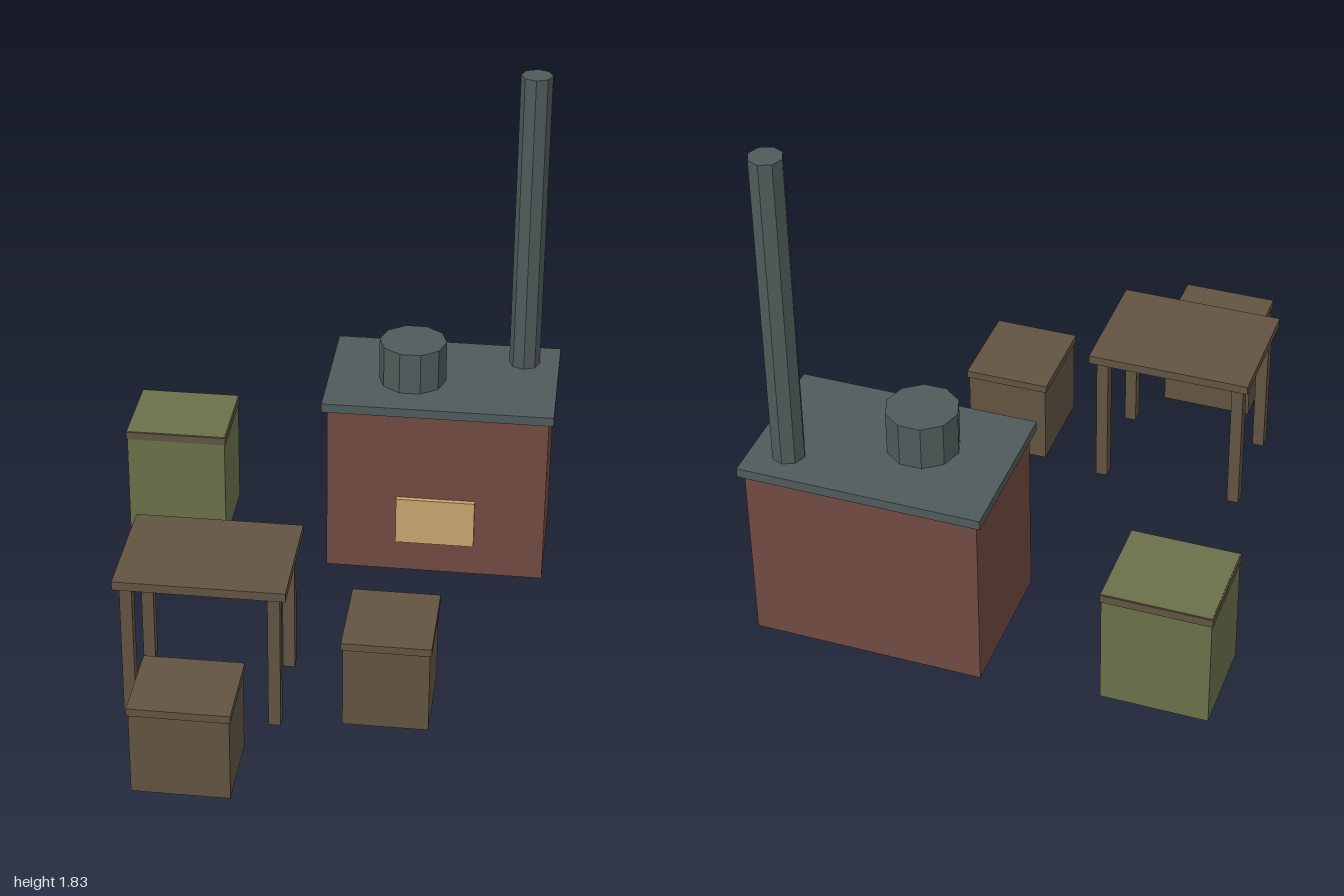
import * as THREE from 'three';

function material(name, color) {
  const m = new THREE.MeshStandardMaterial({ color });
  m.name = name;
  return m;
}

export function createModel() {
  const model = new THREE.Group();
  model.name = 'outdoorKitchen';

  const wood = material('brown wood', 0x625442);
  const green = material('olive green', 0x6a7049);
  const brick = material('red brick', 0x704a40);
  const iron = material('slate iron', 0x505a5a);
  const brass = material('pale brass', 0xc8a56e);

  const group = (name) => {
    const g = new THREE.Group();
    g.name = name;
    model.add(g);
    return g;
  };

  // Box given by its limits on each axis
  const box = (parent, name, mat, [x0, x1], [y0, y1], [z0, z1]) => {
    const mesh = new THREE.Mesh(new THREE.BoxGeometry(x1 - x0, y1 - y0, z1 - z0), mat);
    mesh.position.set((x0 + x1) / 2, (y0 + y1) / 2, (z0 + z1) / 2);
    mesh.name = name;
    parent.add(mesh);
  };

  // Faceted upright cylinder standing on y0
  const drum = (parent, name, mat, r, sides, x, y0, y1, z, turn = 0) => {
    const geo = new THREE.CylinderGeometry(r, r, y1 - y0, sides).toNonIndexed();
    geo.computeVertexNormals();
    const mesh = new THREE.Mesh(geo, mat);
    mesh.position.set(x, (y0 + y1) / 2, z);
    mesh.rotation.y = turn;
    mesh.name = name;
    parent.add(mesh);
  };

  // Stove: brick body, iron slab, fire door, pot and chimney
  const stove = group('stove');
  box(stove, 'stoveBody', brick, [-0.023, 0.783], [0, 0.66], [-0.979, -0.471]);
  box(stove, 'stoveTop', iron, [-0.042, 0.8], [0.658, 0.692], [-1, -0.452]);
  box(stove, 'fireDoor', brass, [0.236, 0.526], [0.128, 0.312], [-0.475, -0.452]);
  drum(stove, 'pot', iron, 0.124, 10, 0.268, 0.69, 0.85, -0.69, Math.PI / 2);
  drum(stove, 'chimney', iron, 0.057, 8, 0.67, 0.69, 1.832, -0.873);

  // Table with four legs
  const table = group('table');
  box(table, 'tableTop', wood, [-0.61, -0.026], [0.512, 0.544], [0.152, 0.592]);
  for (const x of [-0.568, -0.069])
    for (const z of [0.199, 0.551])
      box(table, 'tableLeg', wood, [x - 0.021, x + 0.021], [0, 0.513], [z - 0.022, z + 0.022]);

  // Two box stools, the second turned a quarter
  const stool = (name, x, z, turn) => {
    const g = group(name);
    box(g, 'stoolBody', wood, [-0.165, 0.165], [0, 0.305], [-0.147, 0.147]);
    box(g, 'stoolLid', wood, [-0.17, 0.17], [0.302, 0.33], [-0.153, 0.153]);
    g.position.set(x, 0, z);
    g.rotation.y = turn;
  };
  stool('frontStool', -0.318, 0.847, 0);
  stool('sideStool', 0.305, 0.37, Math.PI / 2);

  // Green crate with a wooden rim round its top
  const crate = group('crate');
  box(crate, 'crateBody', green, [-0.796, -0.426], [0, 0.442], [-0.933, -0.599]);
  box(crate, 'crateRim', wood, [-0.8, -0.422], [0.411, 0.44], [-0.937, -0.595]);

  return model;
}
